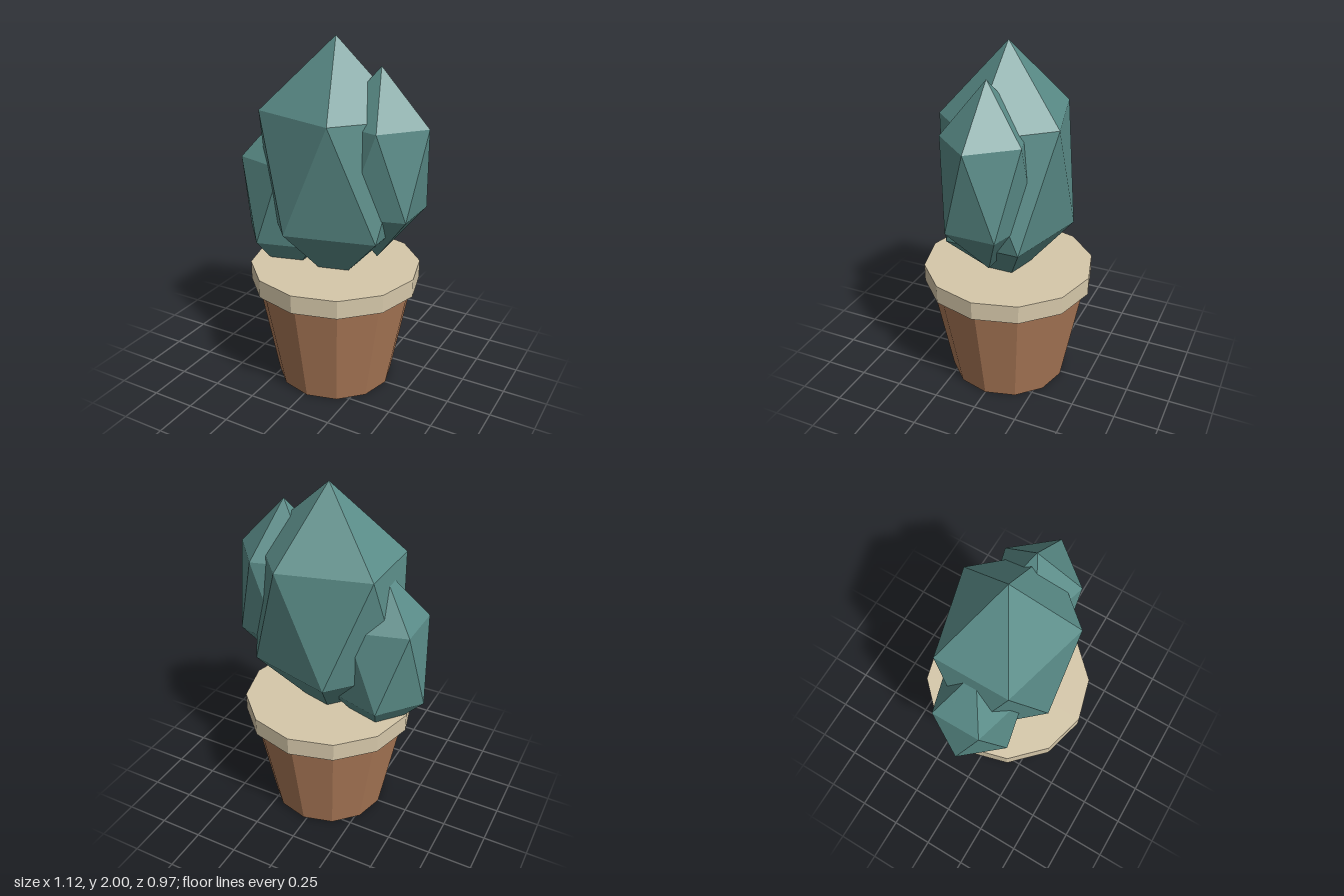
import * as THREE from 'three';
import { ConvexGeometry } from 'three/addons/geometries/ConvexGeometry.js';

const CENTRE_X = 0.02;

// Upright stretched icosahedron: two poles and two opposed rings of five
function lobeGeometry(rx, ry, rz) {
  const ringY = ry / Math.sqrt(5);
  const points = [new THREE.Vector3(0, ry, 0), new THREE.Vector3(0, -ry, 0)];
  for (let i = 0; i < 5; i++) {
    const a = (i * Math.PI * 2) / 5;
    const x = Math.cos(a) * rx;
    const z = Math.sin(a) * rz;
    points.push(new THREE.Vector3(x, ringY, z), new THREE.Vector3(-x, -ringY, z));
  }
  return new ConvexGeometry(points);
}

export function createModel() {
  const group = new THREE.Group();
  group.name = 'pottedCactus';

  const material = (name, color) => {
    const m = new THREE.MeshStandardMaterial({ color, flatShading: true });
    m.name = name;
    return m;
  };
  const green = material('cactusGreen', 0x5a8c88);
  const cream = material('rimCream', 0xd6c8aa);
  const clay = material('potClay', 0xad7a58);

  const add = (name, geometry, mat, x, y) => {
    const mesh = new THREE.Mesh(geometry, mat);
    mesh.name = name;
    mesh.position.set(x, y, 0);
    group.add(mesh);
  };

  // Twelve-sided tapered pot and its rim, closed on top
  add('pot', new THREE.CylinderGeometry(0.455, 0.338, 0.61, 12), clay, CENTRE_X, 0.305);
  add('rim', new THREE.CylinderGeometry(0.487, 0.487, 0.105, 12), cream, CENTRE_X, 0.6625);

  // Large middle lobe with a smaller one on each side
  add('mainLobe', lobeGeometry(0.438, 0.71, 0.357), green, CENTRE_X, 1.29);
  const sideLobe = lobeGeometry(0.277, 0.53, 0.237);
  add('leftLobe', sideLobe, green, 0.285, 1.335);
  add('rightLobe', sideLobe, green, -0.286, 1.067);

  return group;
}
